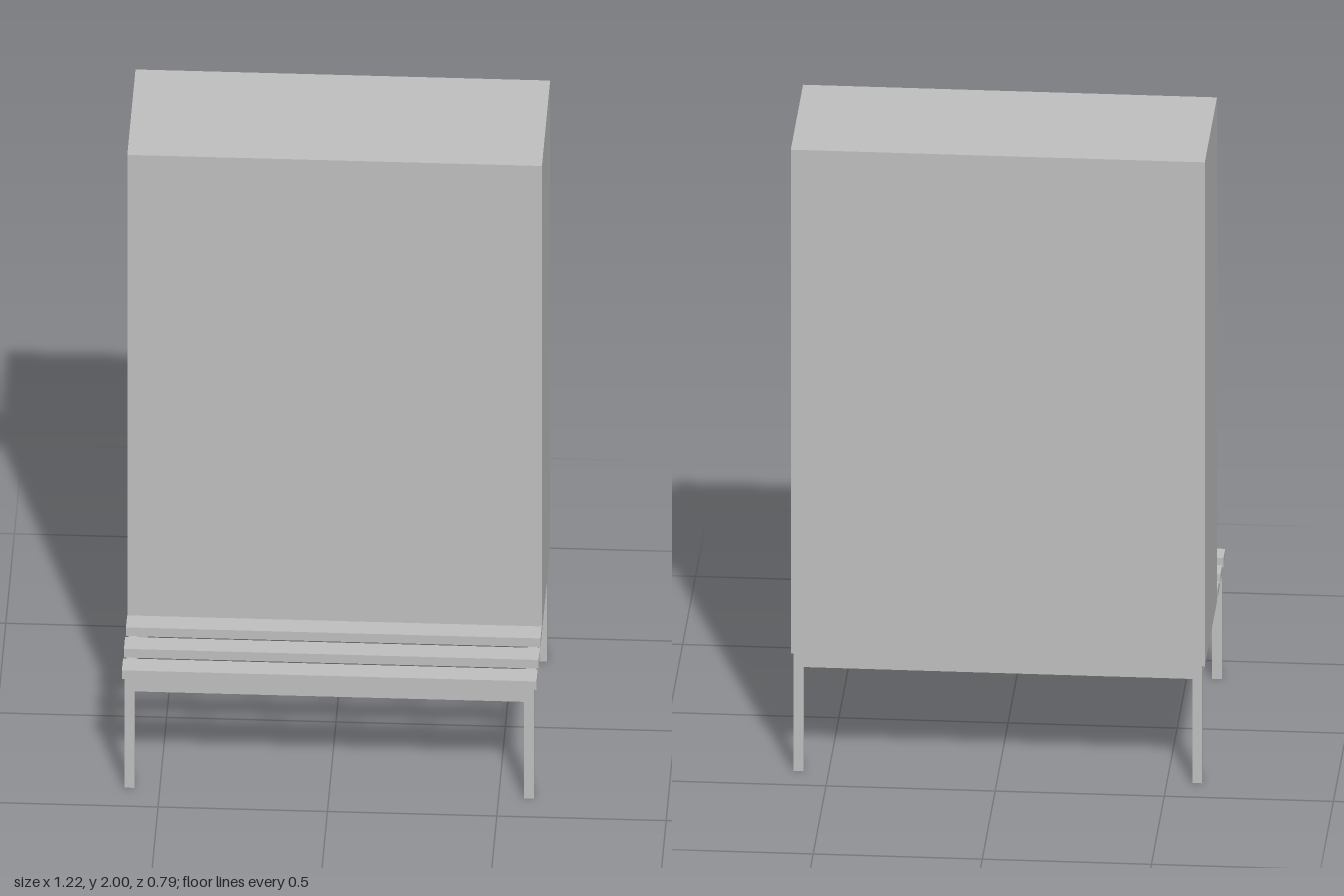
import * as THREE from 'three';

export function createModel() {
  const model = new THREE.Group();
  const grey = new THREE.MeshStandardMaterial({ color: 0xbfbfbf });
  grey.name = 'greyPaint';

  // Box given by its min and max on each axis
  function box(name, [x0, x1], [y0, y1], [z0, z1]) {
    const mesh = new THREE.Mesh(new THREE.BoxGeometry(x1 - x0, y1 - y0, z1 - z0), grey);
    mesh.position.set((x0 + x1) / 2, (y0 + y1) / 2, (z0 + z1) / 2);
    mesh.name = name;
    model.add(mesh);
  }

  const halfWidth = 0.612, frameX = 0.604, depth = 0.397, tube = 0.029;
  const railBottom = 0.335, railTop = 0.377;
  const inner = frameX - tube, innerZ = depth - tube;

  // Locker body
  box('cabinet', [-halfWidth, halfWidth], [railTop, 2], [-depth, 0.08]);

  // Bench slats in front of the locker
  for (const z of [0.09, 0.21, 0.33]) {
    box('benchSlat', [-halfWidth, halfWidth], [railTop, 0.407], [z, z + 0.067]);
  }

  // Four square legs and the two side rails
  for (const s of [-1, 1]) {
    const xs = s > 0 ? [inner, frameX] : [-frameX, -inner];
    box(s > 0 ? 'leftFrontLeg' : 'rightFrontLeg', xs, [0, railTop], [innerZ, depth]);
    box(s > 0 ? 'leftBackLeg' : 'rightBackLeg', xs, [0, railTop], [-depth, -innerZ]);
    box(s > 0 ? 'leftRail' : 'rightRail', xs, [railBottom, railTop], [-innerZ, innerZ]);
  }

  // Front and back rails between the legs
  box('frontRail', [-inner, inner], [railBottom, railTop], [innerZ, depth]);
  box('backRail', [-inner, inner], [railBottom, railTop], [-depth, -innerZ]);

  return model;
}
